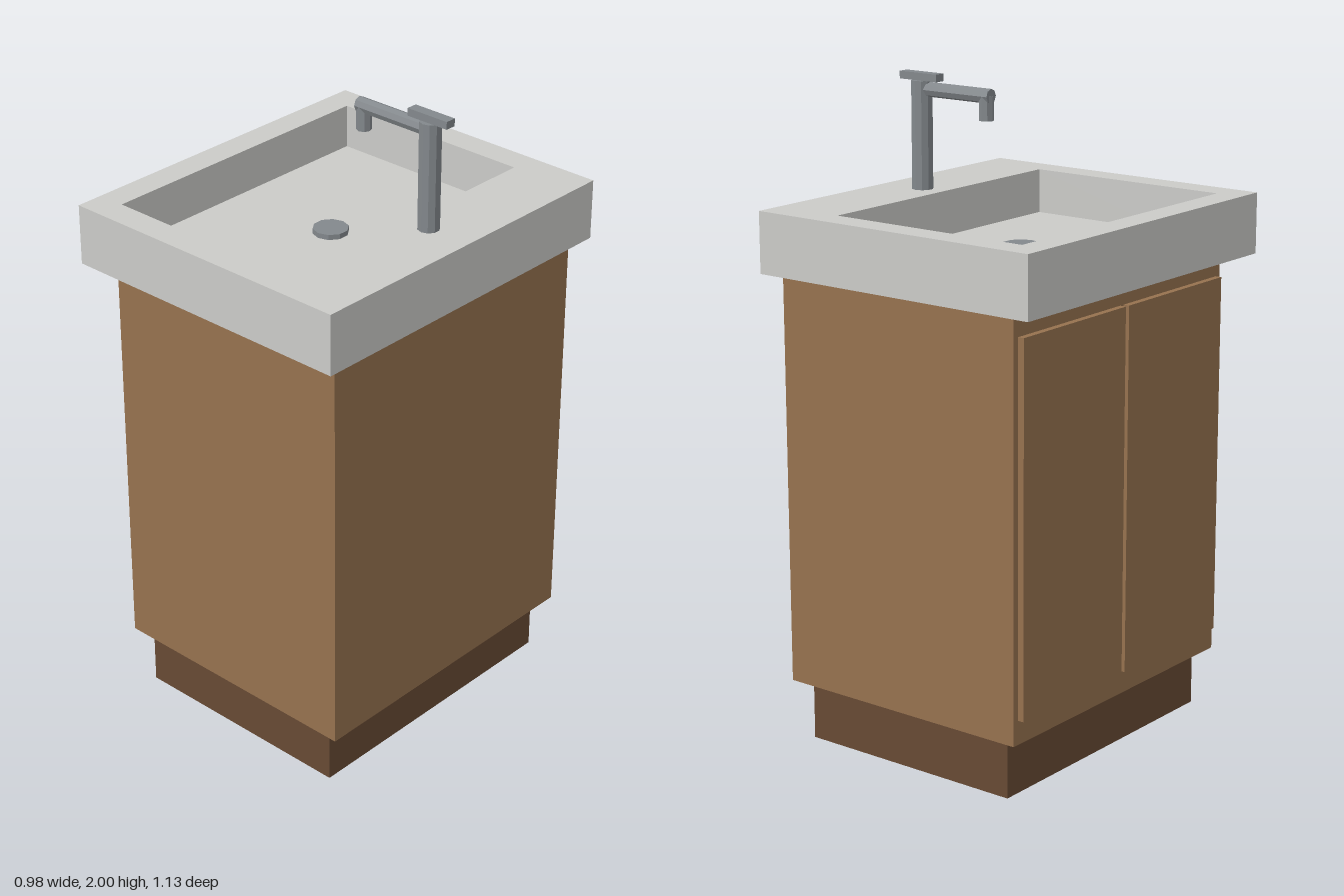
import * as THREE from 'three';

const wood = new THREE.MeshStandardMaterial({ name: 'wood', color: 0x96724f });
const darkWood = new THREE.MeshStandardMaterial({ name: 'darkWood', color: 0x674a34 });
const stone = new THREE.MeshStandardMaterial({ name: 'stone', color: 0xcbcbc8 });
const metal = new THREE.MeshStandardMaterial({ name: 'metal', color: 0x83888c, flatShading: true });

export function createModel() {
  const model = new THREE.Group();
  model.name = 'vanitySink';

  function add(name, geometry, material, parent = model) {
    const mesh = new THREE.Mesh(geometry, material);
    mesh.name = name;
    parent.add(mesh);
    return mesh;
  }

  // Box given by its extents along each axis
  function box(name, [x0, x1], [y0, y1], [z0, z1], material, parent) {
    const g = new THREE.BoxGeometry(x1 - x0, y1 - y0, z1 - z0);
    g.translate((x0 + x1) / 2, (y0 + y1) / 2, (z0 + z1) / 2);
    return add(name, g, material, parent);
  }

  // Upright faceted rod
  function rod(name, x, y0, y1, radius, sides, parent) {
    const g = new THREE.CylinderGeometry(radius, radius, y1 - y0, sides);
    g.translate(x, (y0 + y1) / 2, 0);
    return add(name, g, metal, parent);
  }

  // Recessed plinth and cabinet
  box('plinth', [-0.35, 0.4], [0, 0.185], [-0.475, 0.475], darkWood);
  box('cabinet', [-0.4, 0.455], [0.185, 1.46], [-0.51, 0.51], wood);

  // Pair of doors on the -x side
  for (const side of [-1, 1]) {
    const z = [0.008 * side, 0.49 * side].sort((a, b) => a - b);
    box(side < 0 ? 'doorBack' : 'doorFront', [-0.42, -0.4], [0.26, 1.39], z, wood);
  }

  // Countertop with a rectangular basin cut into it
  const rect = (Type, x0, x1, h) => new Type([
    new THREE.Vector2(x0, -h), new THREE.Vector2(x1, -h),
    new THREE.Vector2(x1, h), new THREE.Vector2(x0, h),
  ]);
  const outline = rect(THREE.Shape, -0.492, 0.492, 0.566);
  outline.holes.push(rect(THREE.Path, -0.405, 0.265, 0.479));
  const top = new THREE.ExtrudeGeometry(outline, { depth: 0.187, bevelEnabled: false });
  top.rotateX(-Math.PI / 2).translate(0, 1.46, 0);
  add('countertop', top, stone);
  box('basinFloor', [-0.405, 0.265], [1.46, 1.51], [-0.479, 0.479], stone);
  rod('drain', -0.031, 1.51, 1.526, 0.054, 10);

  // Faucet: post, spout with a downturned nozzle, flat lever
  const faucet = new THREE.Group();
  faucet.name = 'faucet';
  model.add(faucet);
  rod('post', 0.345, 1.647, 1.977, 0.033, 10, faucet);
  const spout = new THREE.CylinderGeometry(0.0225, 0.0225, 0.265, 8);
  spout.rotateZ(Math.PI / 2).translate(0.2125, 1.951, 0);
  add('spout', spout, metal, faucet);
  rod('nozzle', 0.098, 1.878, 1.951, 0.0225, 8, faucet);
  box('lever', [0.275, 0.417], [1.977, 2], [-0.017, 0.017], metal, faucet);

  return model;
}
